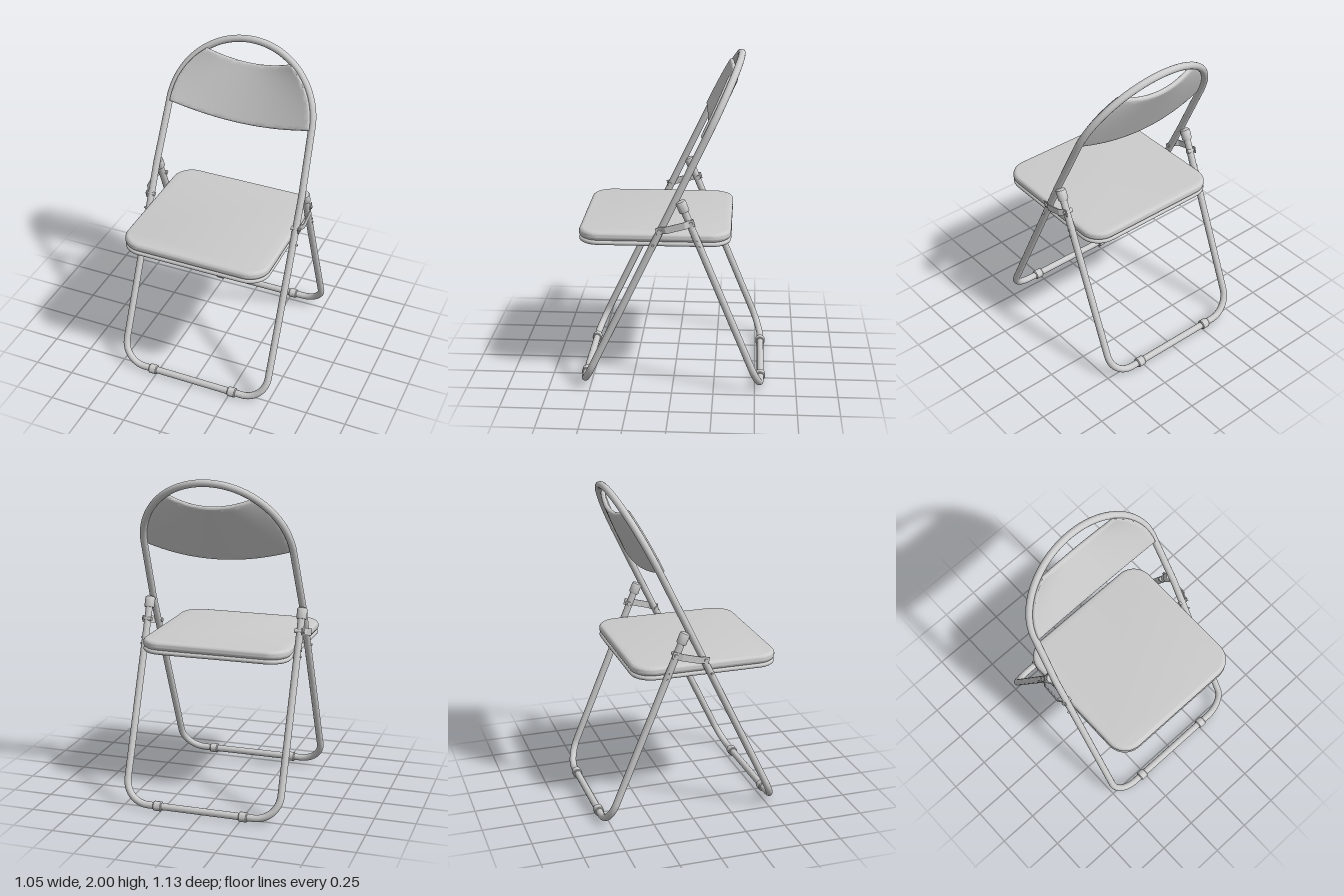
import * as THREE from 'three';
import { mergeVertices, toCreasedNormals } from 'three/addons/utils/BufferGeometryUtils.js';

const material = new THREE.MeshStandardMaterial({ color: 0xcccccc });
const TUBE = 0.0215;

function add(parent, name, geometry, x = 0, y = 0, z = 0) {
  const mesh = new THREE.Mesh(geometry, material);
  mesh.name = name;
  mesh.position.set(x, y, z);
  parent.add(mesh);
  return mesh;
}

// Weld, then smooth everything below the crease angle
function smooth(geometry, crease = 0.7) {
  geometry.deleteAttribute('uv');
  geometry.deleteAttribute('normal');
  const welded = mergeVertices(geometry, 1e-5);
  welded.computeVertexNormals();
  return toCreasedNormals(welded, crease);
}

// Bent tube following a 2D path
function tubeAlong(path, divisions, radius, closed) {
  const points = path.getSpacedPoints(divisions).map(p => new THREE.Vector3(p.x, p.y, 0));
  if (closed) points.pop();
  const curve = new THREE.CatmullRomCurve3(points, closed, 'centripetal');
  return new THREE.TubeGeometry(curve, divisions * 2, radius, 14, closed);
}

function seatOutline(inset) {
  const x = 0.465 - inset, z0 = -0.345 + inset, z1 = 0.56 - inset, r = 0.13 - inset;
  const s = new THREE.Shape();
  s.moveTo(0, z0);
  s.absarc(x - r, z0 + r, r, -Math.PI / 2, 0);
  s.absarc(x - r, z1 - r, r, 0, Math.PI / 2);
  s.absarc(-x + r, z1 - r, r, Math.PI / 2, Math.PI);
  s.absarc(-x + r, z0 + r, r, Math.PI, Math.PI * 1.5);
  s.lineTo(0, z0);
  return s;
}

// Rubber sleeves on the floor bars
function addSleeves(parent) {
  for (const x of [-0.27, 0.27]) {
    const profile = [[0, -0.026], [0.026, -0.026], [0.03, -0.021], [0.03, 0.021], [0.026, 0.026], [0, 0.026]];
    const lathe = new THREE.LatheGeometry(profile.map(p => new THREE.Vector2(...p)), 20);
    add(parent, 'floorSleeve', smooth(lathe, 0.5), x).rotation.z = Math.PI / 2;
  }
}

// Curved, padded panel in the plane of the front frame
function backrestGeometry() {
  const g = new THREE.BoxGeometry(2, 2, 2, 40, 20, 8);
  const p = g.attributes.position;
  for (let i = 0; i < p.count; i++) {
    const angle = p.getZ(i) * Math.PI / 2;
    const inset = 1 - Math.cos(angle);
    const u = p.getX(i) * (1 - 0.03 * inset);
    const v = 0.5 + 0.5 * p.getY(i) * (1 - 0.07 * inset);
    const edge = 1.70 + 0.362 * v;
    const width = Math.sqrt(0.455 ** 2 - (edge - 1.695) ** 2);
    const middle = 1.65 + 0.37 * v;
    const depth = -0.032 + 0.052 * u * u + 0.015 * Math.sin(angle);
    p.setXYZ(i, u * width, edge * u * u + middle * (1 - u * u), depth);
  }
  return smooth(g, 1.0);
}

function frontFrame() {
  const group = new THREE.Group();
  group.name = 'frontFrame';
  group.position.set(0, 0.03, 0.54);
  group.rotation.x = -Math.atan(0.477);
  const s = new THREE.Path();
  s.moveTo(0, 0);
  s.lineTo(0.335, 0);
  s.absarc(0.335, 0.15, 0.15, -Math.PI / 2, 0);
  s.lineTo(0.481, 1.3);
  s.lineTo(0.465, 1.695);
  s.absarc(0, 1.695, 0.465, 0, Math.PI);
  s.lineTo(-0.481, 1.3);
  s.lineTo(-0.485, 0.15);
  s.absarc(-0.335, 0.15, 0.15, Math.PI, Math.PI * 1.5);
  s.lineTo(0, 0);
  add(group, 'frontTube', tubeAlong(s, 180, TUBE, true));
  add(group, 'backrest', backrestGeometry());
  addSleeves(group);
  return group;
}

function rearLegs() {
  const group = new THREE.Group();
  group.name = 'rearLegs';
  group.position.set(0, 0.03, -0.535);
  group.rotation.x = Math.atan(0.411);
  const s = new THREE.Path();
  s.moveTo(-0.487, 1.25);
  s.lineTo(-0.485, 0.15);
  s.absarc(-0.335, 0.15, 0.15, Math.PI, Math.PI * 1.5);
  s.lineTo(0.335, 0);
  s.absarc(0.335, 0.15, 0.15, -Math.PI / 2, 0);
  s.lineTo(0.487, 1.25);
  add(group, 'rearTube', tubeAlong(s, 120, TUBE, false));
  addSleeves(group);
  // Plastic caps on the open tube ends
  const profile = [[0, -0.035], [0.028, -0.035], [0.031, -0.03], [0.031, 0.024], [0.028, 0.031], [0.021, 0.035], [0, 0.036]];
  const cap = smooth(new THREE.LatheGeometry(profile.map(p => new THREE.Vector2(...p)), 20), 0.6);
  for (const x of [-0.487, 0.487]) add(group, 'legCap', cap, x, 1.24, 0);
  return group;
}

function seat() {
  const group = new THREE.Group();
  group.name = 'seat';
  const bevel = 0.024;
  const pad = new THREE.ExtrudeGeometry(seatOutline(bevel), {
    depth: 0.055 - 2 * bevel, bevelSize: bevel, bevelThickness: bevel, bevelSegments: 6, curveSegments: 12,
  });
  add(group, 'seatPad', smooth(pad), 0, 1 - bevel, 0).rotation.x = Math.PI / 2;
  const rim = tubeAlong(seatOutline(0.014), 100, 0.0135, true);
  add(group, 'seatRim', rim, 0, 0.934, 0).rotation.x = Math.PI / 2;
  const board = new THREE.ExtrudeGeometry(seatOutline(0.016), { depth: 0.016, bevelEnabled: false });
  add(group, 'seatBoard', board, 0, 0.95, 0).rotation.x = Math.PI / 2;
  return group;
}

// Folding link and rivets for the left side
function hinge() {
  const group = new THREE.Group();
  group.name = 'hinge';
  const line = [[-0.02, 0.508], [0.012, 0.508], [0.037, 0.525], [0.155, 0.525], [0.18, 0.51], [0.212, 0.51]];
  const inner = line.map(([a, b]) => [a, b - 0.006]).reverse();
  const shape = new THREE.Shape([...line, ...inner].map(p => new THREE.Vector2(...p)));
  const strip = new THREE.ExtrudeGeometry(shape, { depth: 0.042, bevelEnabled: false });
  strip.translate(0, 0, -0.021);
  const along = new THREE.Vector3(0, 0.05, -0.185).normalize();
  const out = new THREE.Vector3(1, 0, 0);
  const link = add(group, 'foldingLink', strip, 0, 1.03, 0.07);
  link.quaternion.setFromRotationMatrix(
    new THREE.Matrix4().makeBasis(along, out, along.clone().cross(out)));

  const rivets = [ // y, z, radius, outer end
    [1.03, 0.07, 0.014, 0.515], [1.08, -0.115, 0.014, 0.517],
    [0.94, 0.108, 0.009, 0.512], [0.97, -0.15, 0.009, 0.512], [0.935, -0.164, 0.009, 0.512],
  ];
  for (const [y, z, r, end] of rivets) {
    const pin = new THREE.CylinderGeometry(r * 0.75, r, 0.06, 14);
    add(group, 'rivet', pin, end - 0.03, y, z).rotation.z = -Math.PI / 2;
  }
  return group;
}

export function createModel() {
  const model = new THREE.Group();
  model.name = 'foldingChair';
  const left = hinge();
  const right = hinge();
  left.name = 'leftHinge';
  right.name = 'rightHinge';
  right.scale.x = -1;
  model.add(frontFrame(), rearLegs(), seat(), left, right);
  return model;
}
